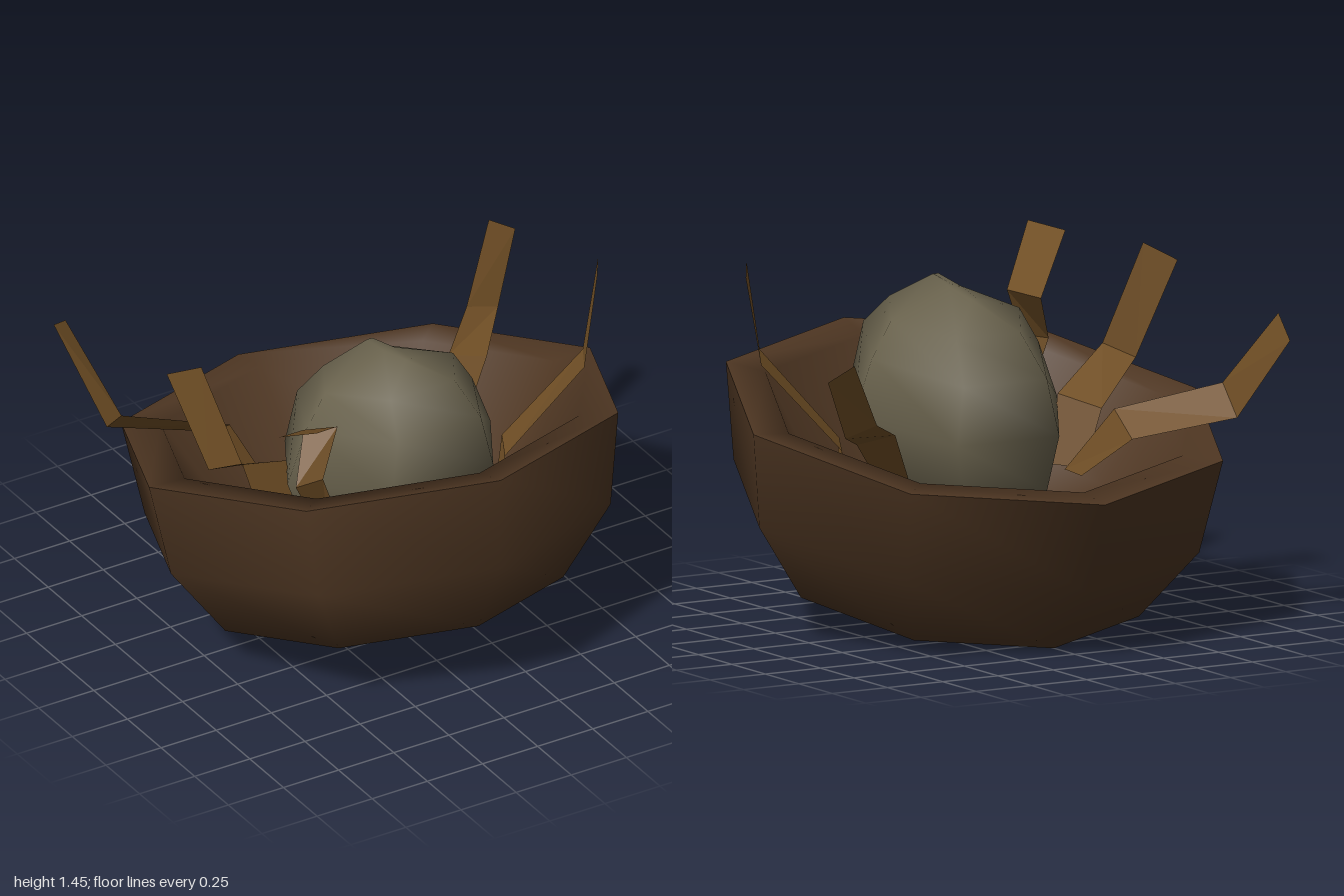
import * as THREE from 'three';

const TILT = -0.222;

function material(name, color) {
  const m = new THREE.MeshStandardMaterial({ color, side: THREE.DoubleSide });
  m.name = name;
  return m;
}

// Faceted shell of revolution with smooth normals; profile is [radius, height]
function shell(name, profile, sides, mat, phi = 0) {
  const points = profile.map(([r, y]) => new THREE.Vector2(r, y));
  const mesh = new THREE.Mesh(new THREE.LatheGeometry(points, sides, phi), mat);
  mesh.name = name;
  return mesh;
}

// Flat folded strip through a list of edges, each [left point, right point]
function strip(name, edges, mat) {
  const pos = [];
  for (let i = 0; i < edges.length - 1; i++) {
    const [a, b] = edges[i], [c, d] = edges[i + 1];
    pos.push(...a, ...b, ...d, ...a, ...d, ...c);
  }
  const geo = new THREE.BufferGeometry();
  geo.setAttribute('position', new THREE.Float32BufferAttribute(pos, 3));
  geo.computeVertexNormals();
  const mesh = new THREE.Mesh(geo, mat);
  mesh.name = name;
  return mesh;
}

export function createModel() {
  const model = new THREE.Group();
  model.name = 'nest';
  const bark = material('dark bark', 0x4e3622);
  const straw = material('light twig', 0x725026);
  const stone = material('grey egg', 0x68614c);

  // Tilted eight-sided bowl: closed outside and a sloping hollow inside a flat lip
  const bowl = new THREE.Group();
  bowl.name = 'bowl';
  bowl.add(
    shell('outerWall', [[0, -0.69], [0.72, -0.69], [0.937, -0.385], [1, 0]], 8, bark),
    shell('innerHollow', [[1, 0], [0.84, -0.01], [0.62, -0.36], [0.35, -0.47], [0, -0.49]], 8, bark),
  );
  // The lower rings lean slightly backwards
  for (const part of bowl.children) {
    const p = part.geometry.attributes.position;
    for (let i = 0; i < p.count; i++) p.setZ(i, p.getZ(i) + 0.065 * p.getY(i));
  }
  bowl.position.y = 0.84;
  bowl.rotation.x = TILT;
  model.add(bowl);

  // Six-sided tall egg resting in the hollow, ending in a short ridge at both ends
  const egg = shell('egg', [
    [0, -0.47], [0.167, -0.47], [0.29, -0.36], [0.433, -0.22], [0.46, 0],
    [0.433, 0.22], [0.29, 0.36], [0.167, 0.47], [0, 0.47],
  ], 6, stone, Math.PI / 2);
  const p = egg.geometry.attributes.position;
  for (let i = 0; i < p.count; i++) {
    const h = Math.abs(p.getY(i));
    if (h > 0.4) p.setX(i, p.getX(i) * 0.15);
    else if (h > 0.2 && h < 0.3) p.setX(i, p.getX(i) * 0.87);
    p.setY(i, p.getY(i) + 0.2 * p.getZ(i));
  }
  egg.position.set(-0.055, 0.82, 0.235);
  model.add(egg);

  // Bent flat twigs rising from the hollow over the rim
  const twigs = {
    backLeftTwig: [
      [[0.34, 0.58, -0.09], [0.45, 0.57, -0.07]],
      [[0.51, 0.83, -0.25], [0.66, 0.8, -0.21]],
      [[0.69, 0.91, -0.41], [0.83, 0.87, -0.405]],
      [[0.87, 1.18, -0.54], [0.975, 1.12, -0.515]],
    ],
    backRightTwig: [
      [[-0.39, 0.58, -0.03], [-0.4, 0.57, -0.14]],
      [[-0.49, 0.84, -0.235], [-0.49, 0.74, -0.37]],
      [[-0.89, 0.93, -0.385], [-0.88, 0.81, -0.51]],
      [[-0.97, 1.24, -0.67], [-0.95, 1.15, -0.79]],
    ],
    middleRightTwig: [
      [[-0.5, 0.57, 0], [-0.4, 0.58, 0.1]],
      [[-0.57, 0.8, -0.01], [-0.45, 0.85, 0.12]],
      [[-0.83, 0.95, 0.165], [-0.74, 1.0, 0.265]],
      [[-0.935, 1.345, 0.025], [-0.845, 1.405, 0.135]],
    ],
    frontRightTwig: [
      [[-0.45, 0.62, 0.44], [-0.385, 0.62, 0.49]],
      [[-0.645, 0.99, 0.51], [-0.54, 1.01, 0.54]],
      [[-0.55, 1.17, 0.41], [-0.45, 1.2, 0.5]],
      [[-0.83, 1.37, 0.69], [-0.72, 1.405, 0.79]],
    ],
    frontLeftTwig: [
      [[0.4, 0.6, 0.37], [0.46, 0.58, 0.2]],
      [[0.4, 0.72, 0.35], [0.49, 0.7, 0.18]],
      [[0.7, 1.08, 0.45], [0.79, 1.05, 0.29]],
      [[0.79, 1.445, 0.4], [0.89, 1.41, 0.24]],
    ],
  };
  for (const [name, edges] of Object.entries(twigs)) model.add(strip(name, edges, straw));

  return model;
}
